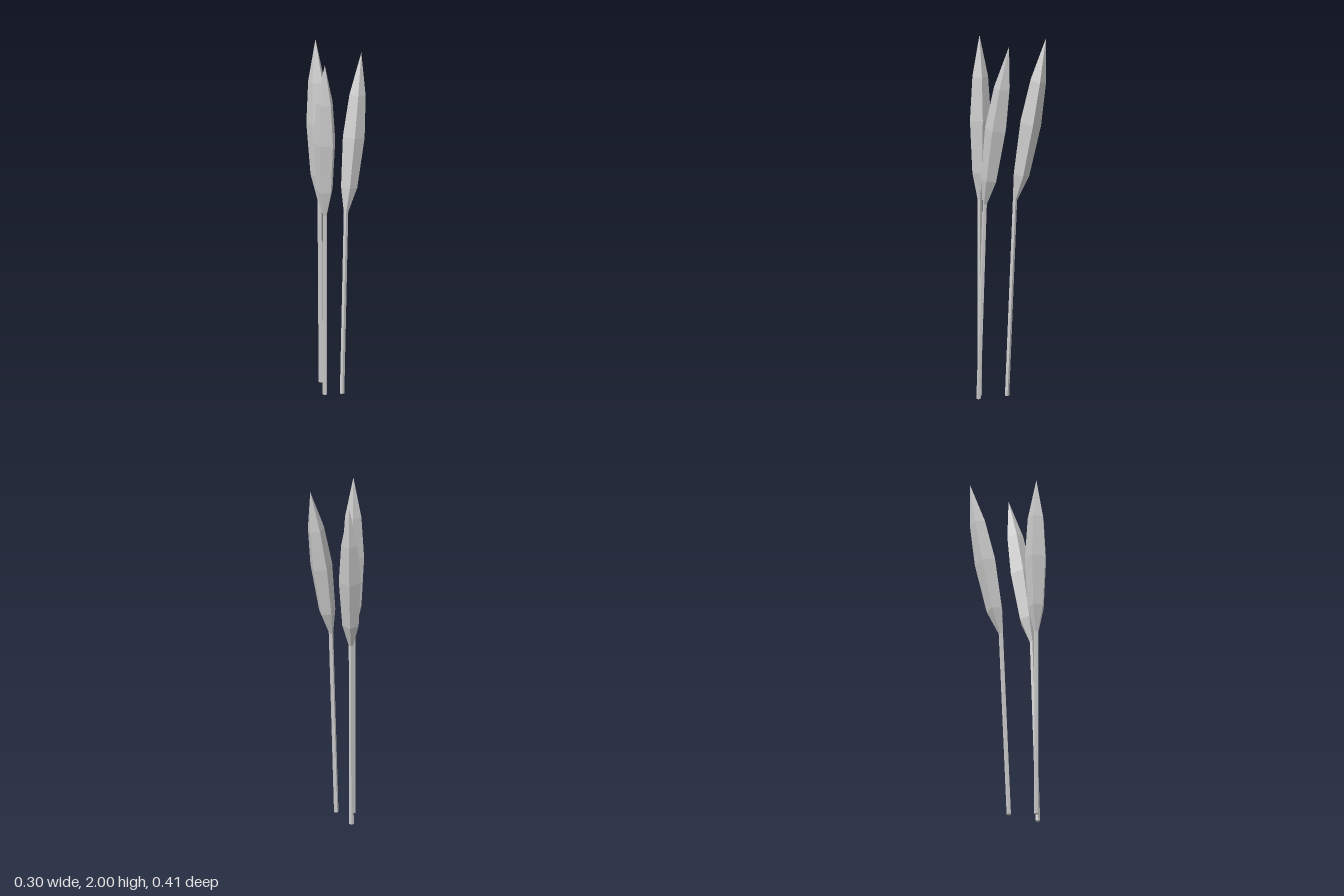
import * as THREE from 'three';

const SIDES = 5;

// Skin through five-sided rings; each ring is [y, z, radius, tilt about x]
function loft(rings) {
  const pos = [], index = [];
  for (const [y, z, r, tilt] of rings) {
    for (let i = 0; i < SIDES; i++) {
      const a = (i / SIDES) * Math.PI * 2; // first corner points to the back
      const d = -Math.cos(a) * r;
      pos.push(Math.sin(a) * r, y + d * Math.sin(tilt), z + d * Math.cos(tilt));
    }
  }
  for (let k = 0; k < rings.length - 1; k++) {
    for (let i = 0; i < SIDES; i++) {
      const j = (i + 1) % SIDES;
      const a = k * SIDES + i, b = k * SIDES + j, c = a + SIDES, d = b + SIDES;
      index.push(a, c, b);
      if (rings[k + 1][2] > 0) index.push(b, c, d);
    }
  }
  // close the bottom
  for (let i = 1; i < SIDES - 1; i++) index.push(0, i, i + 1);
  const indexed = new THREE.BufferGeometry();
  indexed.setAttribute('position', new THREE.Float32BufferAttribute(pos, 3));
  indexed.setIndex(index);
  const geometry = indexed.toNonIndexed();
  geometry.computeVertexNormals();
  return geometry;
}

const straight = {
  stem: [[0, 0, 0.013, 0], [1.09, 0, 0.013, 0]],
  head: [[1.09, 0, 0.013, 0], [1.24, 0, 0.047, 0], [1.53, 0, 0.063, 0],
    [1.77, 0, 0.047, 0], [2, 0, 0, 0]],
};
// leaning backwards, with the head tipping further than the stem
const leaning = {
  stem: [[0, 0, 0.013, 0.04], [1.085, -0.043, 0.013, 0.1]],
  head: [[1.085, -0.043, 0.013, 0.1], [1.225, -0.075, 0.047, 0.2], [1.51, -0.124, 0.063, 0.2],
    [1.745, -0.167, 0.047, 0.2], [1.98, -0.212, 0, 0.2]],
};

export function createModel() {
  const model = new THREE.Group();
  model.name = 'reeds';
  const material = new THREE.MeshStandardMaterial({ color: 0xcccccc, flatShading: true });

  const addReed = (name, shape, x, z, turn) => {
    const reed = new THREE.Group();
    reed.name = name;
    for (const part of ['stem', 'head']) {
      const mesh = new THREE.Mesh(loft(shape[part]), material);
      mesh.name = part;
      reed.add(mesh);
    }
    reed.position.set(x, 0, z);
    reed.rotation.y = turn;
    model.add(reed);
  };

  addReed('uprightReed', straight, -0.091, 0.155, 0);
  addReed('backReed', leaning, -0.091, 0.006, 0);
  addReed('leftReed', leaning, 0.003, 0.157, -0.66);
  return model;
}
